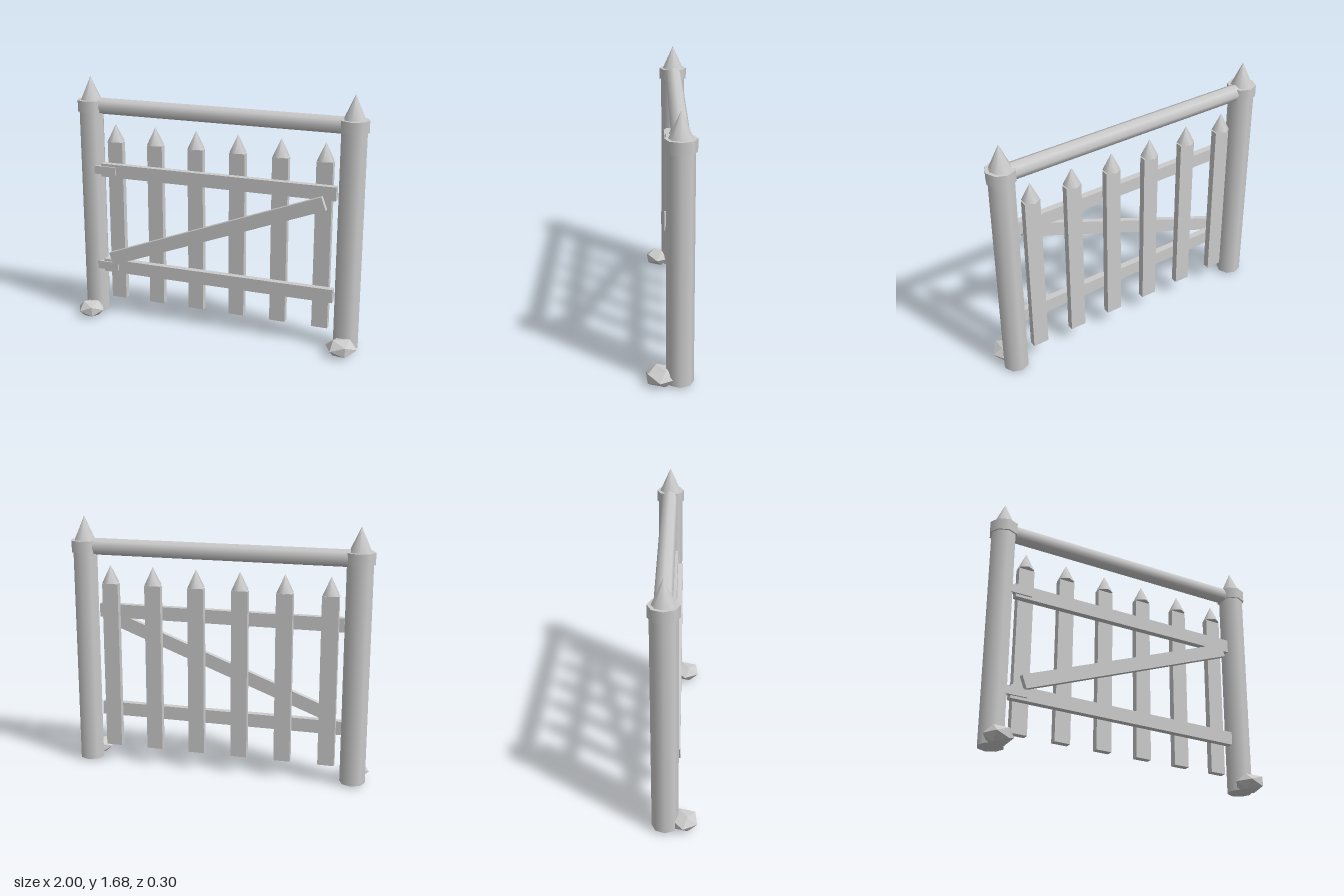
import * as THREE from 'three';

const grey = new THREE.MeshStandardMaterial({ color: 0xcccccc });
const flatGrey = new THREE.MeshStandardMaterial({ color: 0xcccccc, flatShading: true });

export function createModel() {
  const model = new THREE.Group();
  model.name = 'gate';

  const add = (name, geometry, x, y, z, parent = model, material = grey) => {
    const mesh = new THREE.Mesh(geometry, material);
    mesh.name = name;
    mesh.position.set(x, y, z);
    parent.add(mesh);
    return mesh;
  };
  const box = (w, h, d) => new THREE.BoxGeometry(w, h, d);
  // Upright cylinder given by its bottom and top heights
  const upright = (name, rBottom, rTop, y0, y1, x, z, sides, parent) =>
    add(name, new THREE.CylinderGeometry(rTop, rBottom, y1 - y0, sides), x, (y0 + y1) / 2, z, parent);

  // Posts with collar, pointed cap and a stone at the foot
  for (const [side, x, stoneSize] of [['right', -0.905, 0.096], ['left', 0.896, 0.106]]) {
    const post = new THREE.Group();
    post.name = side + 'Post';
    model.add(post);
    upright('shaft', 0.083, 0.083, 0.015, 1.5, x, -0.05, 8, post);
    upright('collar', 0.094, 0.094, 1.447, 1.523, x, -0.05, 8, post);
    upright('cap', 0.071, 0, 1.523, 1.68, x, -0.05, 8, post);
    const stone = add('stone', new THREE.IcosahedronGeometry(stoneSize, 0), x, 0.053, 0.063, post, flatGrey);
    stone.scale.y = 0.0525 / (stoneSize * 0.85);
    stone.rotation.y = 0.5;
  }

  // Round beam between the posts
  const beam = add('topBeam', new THREE.CylinderGeometry(0.055, 0.055, 1.72, 8), -0.005, 1.483, -0.055);
  beam.rotation.z = Math.PI / 2;

  // Pickets with pointed tips
  for (let i = 0; i < 6; i++) {
    const picket = new THREE.Group();
    picket.name = 'picket' + (i + 1);
    picket.position.x = -0.733 + i * 0.2904;
    model.add(picket);
    add('slat', box(0.107, 1.12, 0.045), 0, 0.683, -0.062, picket);
    upright('tip', 0.057, 0, 1.248, 1.365, 0, -0.062, 6, picket);
  }

  // Cross rails, each with a hinge plate reaching onto the post
  for (const [level, y] of [['lower', 0.369], ['upper', 1.053]]) {
    add(level + 'Rail', box(1.63, 0.09, 0.045), -0.005, y, -0.018);
    add(level + 'Hinge', box(0.155, 0.055, 0.03), -0.788, y + 0.001, 0.001);
  }

  // Diagonal brace
  const brace = add('brace', box(1.592, 0.09, 0.036), -0.004, 0.713, 0.022);
  brace.rotation.z = 0.361;

  return model;
}
